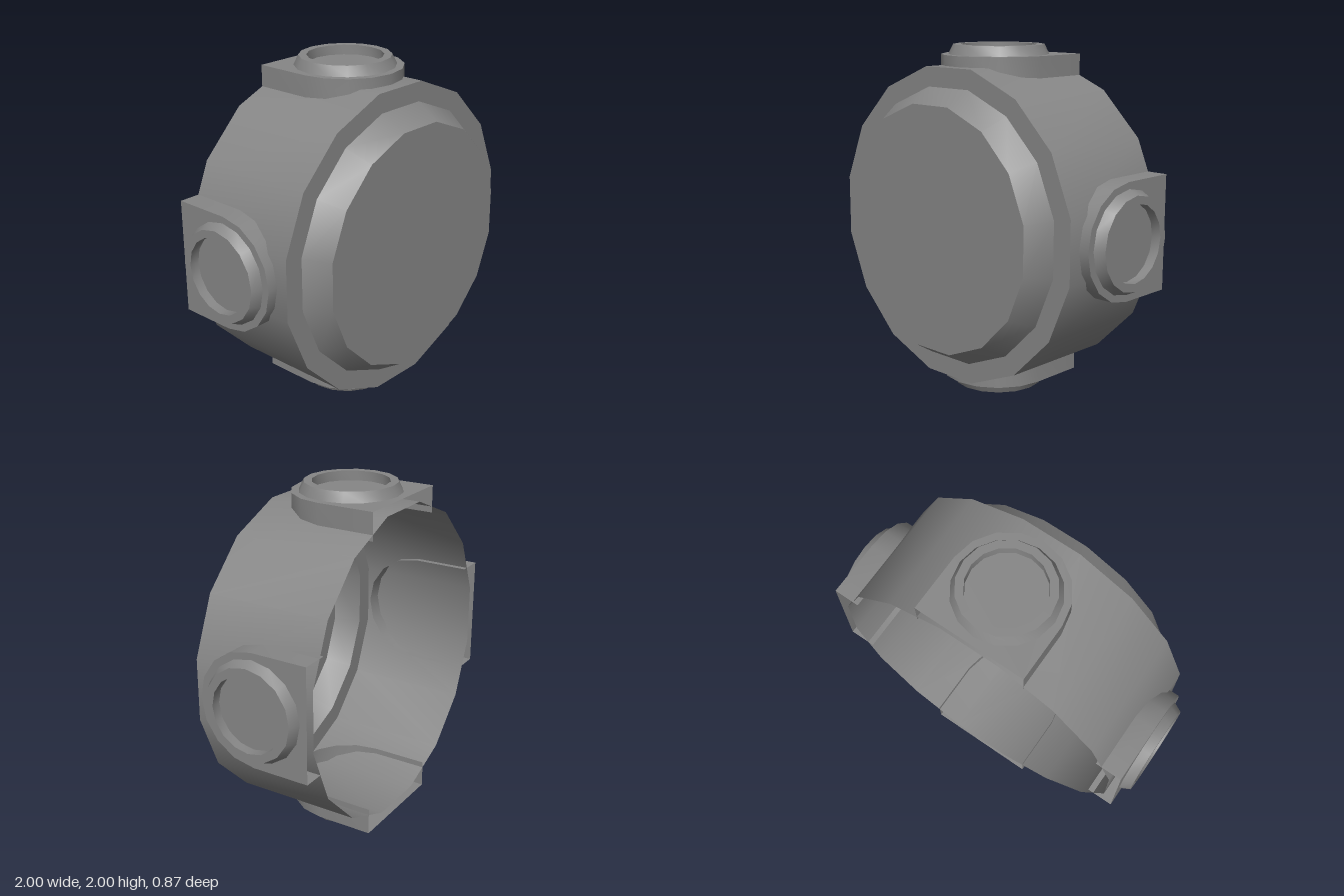
import * as THREE from 'three';
import { toCreasedNormals } from 'three/addons/utils/BufferGeometryUtils.js';

const SIDES = 16;
const BACK = -0.433, RIM = 0.295, FRONT = 0.433;
const LUG_R = 0.325, LUG_Z = -0.1;
const LUG_BASE = 0.79, LUG_TOP = 0.945; // distances from the drum's axis

const material = new THREE.MeshStandardMaterial({ color: 0x868686, side: THREE.DoubleSide });

function addMesh(parent, name, geometry) {
  const mesh = new THREE.Mesh(toCreasedNormals(geometry, 0.6), material);
  mesh.name = name;
  parent.add(mesh);
}

// Lathe from [radius, height] pairs
function lathe(profile, phiStart = 0) {
  return new THREE.LatheGeometry(profile.map((p) => new THREE.Vector2(...p)), SIDES, phiStart);
}

// Surface between two rows of points
function strip(rowA, rowB) {
  const pos = [];
  for (let i = 0; i < rowA.length - 1; i++) {
    const [a, b, c, d] = [rowA[i], rowA[i + 1], rowB[i], rowB[i + 1]];
    pos.push(...a, ...b, ...c, ...b, ...d, ...c);
  }
  const g = new THREE.BufferGeometry();
  g.setAttribute('position', new THREE.Float32BufferAttribute(pos, 3));
  return g;
}

function createLug() {
  const lug = new THREE.Group();

  // U-shaped outline as [x, z], round at the front and open at the back
  const outline = [[-LUG_R, BACK]];
  for (let k = 8; k >= 0; k--) {
    const a = k * Math.PI / 8;
    outline.push([LUG_R * Math.cos(a), LUG_Z + LUG_R * Math.sin(a)]);
  }
  outline.push([LUG_R, BACK]);

  // Side wall, passing through the drum and ending just inside it
  addMesh(lug, 'lugWall', strip(
    outline.map(([x, z]) => [x, LUG_BASE, z]),
    outline.map(([x, z]) => [x, LUG_TOP, z])));

  // Flat plate
  const shape = new THREE.Shape(outline.map(([x, z]) => new THREE.Vector2(x, -z)));
  const plate = new THREE.ShapeGeometry(shape);
  addMesh(lug, 'lugPlate', plate.rotateX(-Math.PI / 2).translate(0, LUG_TOP, 0));

  // Raised tapered ring on the plate
  const ring = lathe([[0.287, LUG_TOP], [0.26, 1], [0.215, 1], [0.215, LUG_TOP]]);
  addMesh(lug, 'lugRing', ring.translate(0, 0, -0.105));
  return lug;
}

export function createModel() {
  const model = new THREE.Group();
  model.name = 'junctionHousing';

  // Drum open at the back: wall, flat rim, bevel and front face
  const drum = lathe(
    [[0.903, BACK], [0.903, RIM], [0.79, RIM], [0.705, FRONT], [0, FRONT]], Math.PI / SIDES);
  addMesh(model, 'drum', drum.rotateX(Math.PI / 2));

  // Four identical lugs around the drum
  ['top', 'left', 'bottom', 'right'].forEach((side, k) => {
    const lug = createLug();
    lug.name = side + 'Lug';
    lug.rotation.z = -k * Math.PI / 2;
    model.add(lug);
  });

  model.position.y = 1;
  const root = new THREE.Group();
  root.add(model);
  return root;
}
